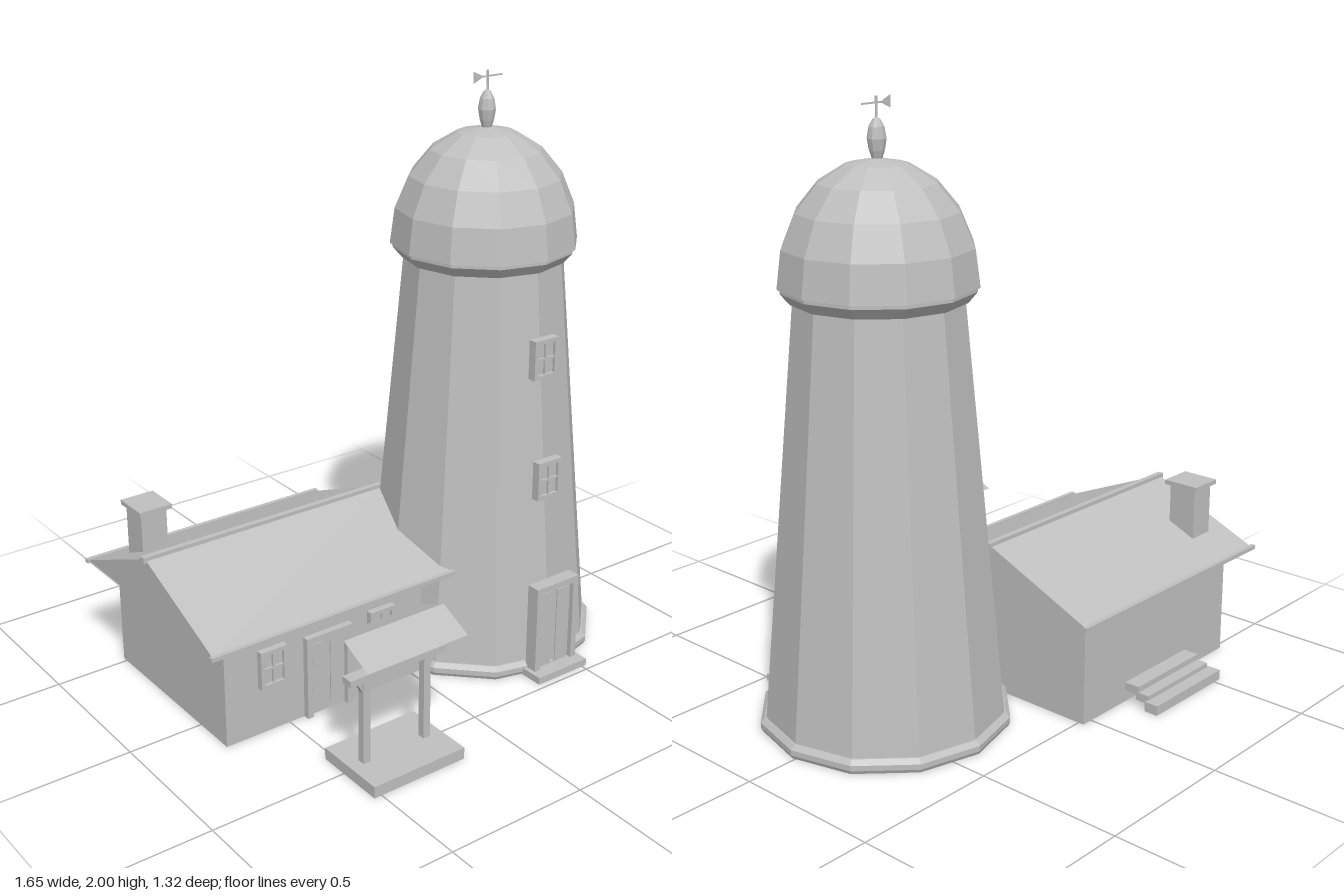
import * as THREE from 'three';

const stone = new THREE.MeshStandardMaterial({ color: 0xbfbfbf, flatShading: true, side: THREE.DoubleSide });
stone.name = 'pale grey';

function add(parent, name, geometry, x = 0, y = 0, z = 0) {
  const mesh = new THREE.Mesh(geometry, stone);
  mesh.name = name;
  mesh.position.set(x, y, z);
  parent.add(mesh);
  return mesh;
}

// Box given by its limits on each axis
function box(parent, name, [x0, x1], [y0, y1], [z0, z1]) {
  return add(parent, name, new THREE.BoxGeometry(x1 - x0, y1 - y0, z1 - z0),
    (x0 + x1) / 2, (y0 + y1) / 2, (z0 + z1) / 2);
}

// Box without its underside, for shells that stand on the ground
function shell(parent, name, xs, ys, zs) {
  const mesh = box(parent, name, xs, ys, zs);
  const index = Array.from(mesh.geometry.index.array);
  index.splice(18, 6);
  mesh.geometry.setIndex(index);
  mesh.geometry.clearGroups();
  return mesh;
}

function group(parent, name, x = 0, y = 0, z = 0) {
  const g = new THREE.Group();
  g.name = name;
  g.position.set(x, y, z);
  parent.add(g);
  return g;
}

function lathe(points, sides) {
  return new THREE.LatheGeometry(points.map(p => new THREE.Vector2(...p)), sides);
}

// Four-pane window, origin at its centre on the wall
function addWindow(parent, x, y, z) {
  const g = group(parent, 'window', x, y, z);
  const w = 0.1, h = 0.135;
  box(g, 'panes', [-w / 2 + 0.01, w / 2 - 0.01], [-h / 2 + 0.01, h / 2 - 0.01], [-0.01, 0.004]);
  for (const s of [-1, 1]) {
    add(g, 'sideFrame', new THREE.BoxGeometry(0.014, h, 0.03), s * (w / 2 - 0.007), 0, 0);
    add(g, 'crossFrame', new THREE.BoxGeometry(w, 0.014, 0.03), 0, s * (h / 2 - 0.007), 0);
  }
  add(g, 'mullion', new THREE.BoxGeometry(0.008, h, 0.024), 0, 0, 0);
  add(g, 'glazingBar', new THREE.BoxGeometry(w, 0.008, 0.024), 0, 0, 0);
}

// Framed door with two raised panels, origin at the middle of its foot
function addDoor(parent, x, z, w, h, depth) {
  const g = group(parent, 'door', x, 0, z);
  const t = 0.022;
  for (const s of [-1, 1]) {
    const mid = s * (w / 2 - t / 2);
    box(g, 'jamb', [mid - t / 2, mid + t / 2], [0, h], [-depth, 0.018]);
    add(g, 'panel', new THREE.BoxGeometry(w / 2 - t - 0.02, h - 0.06, 0.006), s * (w / 4 - t / 2), h / 2 - 0.005, 0.001);
  }
  box(g, 'lintel', [-w / 2, w / 2], [h - t, h], [-depth, 0.018]);
  box(g, 'leaf', [-w / 2 + t, w / 2 - t], [0, h - t], [-depth, 0]);
}

// Triangular prism along x, with the triangle given as [z, y] corners
function prism(points, x0, x1) {
  const shape = new THREE.Shape(points.map(([z, y]) => new THREE.Vector2(-z, y)));
  return new THREE.ExtrudeGeometry(shape, { depth: x1 - x0, bevelEnabled: false })
    .rotateY(Math.PI / 2).translate(x0, 0, 0);
}

function buildTower(root) {
  const tower = group(root, 'tower', 0.41, 0, 0.01);
  add(tower, 'plinth', lathe([[0, 0], [0.408, 0], [0.414, 0.012], [0.414, 0.03], [0.4, 0.045], [0.37, 0.045]], 12));
  add(tower, 'shaft', lathe([[0.395, 0.04], [0.27, 1.39]], 12));
  add(tower, 'collar', lathe([[0.265, 1.39], [0.277, 1.39], [0.306, 1.425], [0.306, 1.442]], 12));
  // Dome with a small overhanging rim
  const dome = [[0.3, 1.436]];
  for (let i = 0; i <= 5; i++) {
    const a = i * Math.PI / 10;
    dome.push([Math.max(0, 0.315 * Math.cos(a)), 1.438 + 0.382 * Math.sin(a)]);
  }
  add(tower, 'dome', lathe(dome, 12));
  // Finial and weather vane
  add(tower, 'finial', lathe([[0, 1.81], [0.016, 1.815], [0.024, 1.84], [0.03, 1.875], [0.024, 1.91], [0.012, 1.932], [0, 1.94]], 10));
  add(tower, 'vanePole', new THREE.CylinderGeometry(0.004, 0.004, 0.08, 6), 0, 1.96, 0);
  add(tower, 'vaneArm', new THREE.BoxGeometry(0.115, 0.005, 0.005), 0.002, 1.98, 0);
  const fin = new THREE.Shape([[-0.06, 1.96], [-0.015, 1.98], [-0.06, 2]].map(p => new THREE.Vector2(...p)));
  add(tower, 'vaneTail', new THREE.ShapeGeometry(fin));

  addWindow(tower, 0, 1.112, 0.312);
  addWindow(tower, 0, 0.697, 0.35);
  addDoor(tower, 0, 0.41, 0.185, 0.338, 0.03);
  shell(tower, 'doorStep', [-0.108, 0.108], [0, 0.025], [0.38, 0.468]);
}

function buildHouse(root) {
  const house = group(root, 'house');
  shell(house, 'walls', [-0.74, 0.04], [0, 0.38], [-0.52, 0.16]);
  add(house, 'roof', prism([[-0.588, 0.378], [0.232, 0.378], [-0.178, 0.552]], -0.815, 0.115));
  for (const z of [-0.584, 0.228]) box(house, 'eaveTrim', [-0.825, 0.125], [0.373, 0.387], [z - 0.008, z + 0.008]);
  box(house, 'ridgeCap', [-0.825, 0.125], [0.54, 0.561], [-0.188, -0.168]);
  box(house, 'chimney', [-0.725, -0.63], [0.4, 0.612], [-0.46, -0.36]);
  box(house, 'chimneyCap', [-0.737, -0.616], [0.61, 0.626], [-0.475, -0.345]);

  for (const x of [-0.567, -0.137]) addWindow(house, x, 0.238, 0.168);
  addDoor(house, -0.352, 0.165, 0.18, 0.295, 0.02);
  // Back steps
  shell(house, 'backStep', [-0.518, -0.18], [0.042, 0.07], [-0.575, -0.52]);
  shell(house, 'backStep', [-0.518, -0.18], [0.022, 0.05], [-0.615, -0.565]);
  shell(house, 'backStep', [-0.53, -0.168], [0, 0.034], [-0.66, -0.61]);
}

function buildPorch(root) {
  const porch = group(root, 'porch', -0.352, 0, 0.53);
  shell(porch, 'slab', [-0.175, 0.175], [0, 0.04], [-0.13, 0.13]);
  for (const s of [-1, 1]) {
    add(porch, 'post', new THREE.BoxGeometry(0.026, 0.295, 0.026), s * 0.117, 0.187, 0);
    // Curved bracket beneath the beam
    const curve = new THREE.Shape();
    curve.moveTo(0, 0.27);
    curve.quadraticCurveTo(s * 0.008, 0.315, s * 0.035, 0.334);
    curve.lineTo(0, 0.334);
    add(porch, 'bracket', new THREE.ExtrudeGeometry(curve, { depth: 0.02, bevelEnabled: false, curveSegments: 5 }), s * 0.125, 0, -0.01);
    // Canopy slope
    const slope = new THREE.PlaneGeometry(0.38, Math.hypot(0.12, 0.056)).rotateX(-Math.PI / 2 + s * Math.atan2(0.056, 0.12));
    add(porch, 'canopySlope', slope, 0, 0.46, s * 0.06 - 0.002);
  }
  box(porch, 'beam', [-0.183, 0.183], [0.333, 0.356], [-0.021, 0.021]);
}

export function createModel() {
  const root = new THREE.Group();
  root.name = 'towerAndCottage';
  buildTower(root);
  buildHouse(root);
  buildPorch(root);
  return root;
}
